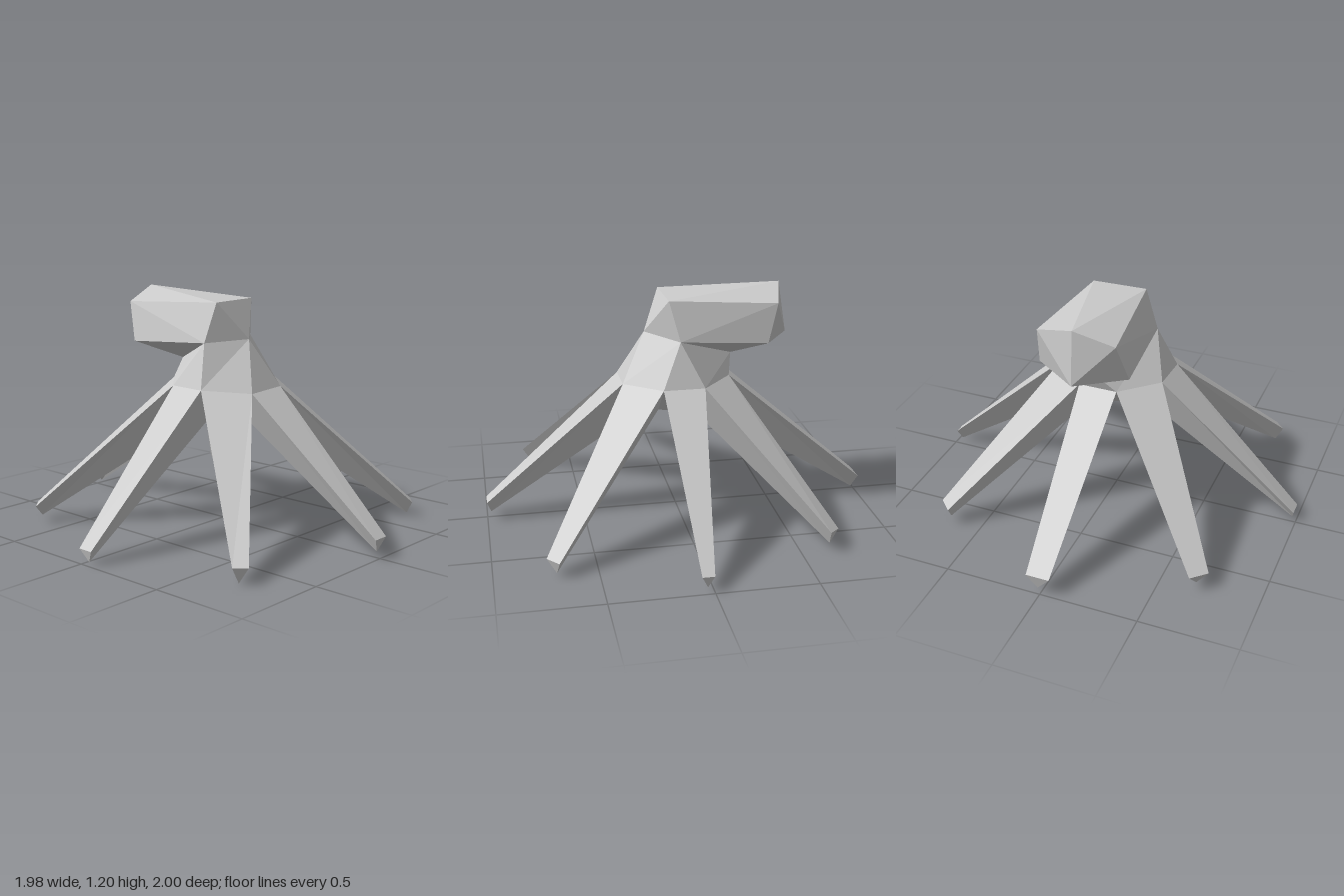
import * as THREE from 'three';

const grey = new THREE.MeshStandardMaterial({ color: 0xcccccc, flatShading: true });

// Flat-shaded mesh from a list of convex polygons (corners counter-clockwise)
function facets(name, polygons) {
  const pos = [];
  for (const p of polygons)
    for (let i = 1; i < p.length - 1; i++) pos.push(...p[0], ...p[i], ...p[i + 1]);
  const g = new THREE.BufferGeometry();
  g.setAttribute('position', new THREE.Float32BufferAttribute(pos, 3));
  g.computeVertexNormals();
  const mesh = new THREE.Mesh(g, grey);
  mesh.name = name;
  return mesh;
}

export function createModel() {
  const group = new THREE.Group();
  group.name = 'octopus';

  // Shoulder ring: corners shared by neighbouring tentacles, front first, turning towards +x
  const ring = [
    [-0.11, 0.72, 0.29], [0.11, 0.73, 0.29], [0.28, 0.74, 0.11], [0.28, 0.74, -0.10],
    [0.10, 0.74, -0.26], [-0.10, 0.74, -0.26], [-0.28, 0.74, -0.09], [-0.29, 0.74, 0.11],
  ];
  // Lower ring: one keel point under each tentacle
  const keel = ring.map((_, i) => {
    const a = i * Math.PI / 4;
    return [0.12 * Math.sin(a), 0.57, 0.02 + 0.12 * Math.cos(a)];
  });
  // Tentacle tips: two upper corners and the keel end
  const tips = [
    [[-0.04, 0.10, 1.00], [0.045, 0.10, 1.00], [0, 0.03, 0.98]],
    [[0.67, 0.08, 0.745], [0.735, 0.08, 0.69], [0.69, 0.01, 0.70]],
    [[0.985, 0.08, 0.06], [0.985, 0.08, 0], [0.97, 0.02, 0.03]],
    [[0.72, 0.11, -0.64], [0.66, 0.10, -0.695], [0.67, 0.03, -0.65]],
    [[0.07, 0.10, -1.00], [-0.05, 0.10, -1.00], [0.02, 0.02, -0.98]],
    [[-0.66, 0.09, -0.725], [-0.735, 0.09, -0.655], [-0.68, 0.03, -0.67]],
    [[-0.99, 0.07, -0.02], [-0.99, 0.07, 0.06], [-0.975, 0.01, 0.03]],
    [[-0.74, 0.08, 0.715], [-0.69, 0.08, 0.77], [-0.70, 0, 0.72]],
  ];

  // Tapered three-sided tentacles
  tips.forEach(([a, b, c], i) => {
    const l = ring[i], r = ring[(i + 1) % 8], k = keel[i];
    group.add(facets('tentacle' + (i + 1), [[a, b, r, l], [l, k, c, a], [r, b, c, k], [a, c, b]]));
  });

  // Underside: webs between the tentacles and the flat belly
  const webs = keel.map((k, i) => [ring[(i + 1) % 8], k, keel[(i + 1) % 8]]);
  group.add(facets('underside', [...webs, [...keel].reverse()]));

  // Neck corners: front, the two sides, back
  const F = [0.01, 0.97, 0.165], P = [0.2, 0.96, 0.01], M = [-0.2, 0.96, 0.05], B = [0, 0.83, -0.29];
  const R = ring;
  group.add(facets('body', [
    [R[0], R[1], F], [R[1], R[2], P, F], [R[2], R[3], P], [R[3], R[4], B, P],
    [R[4], R[5], B], [R[5], R[6], M, B], [R[6], R[7], M], [R[7], R[0], F, M],
  ]));

  // Head swept backwards: brow, rear upper and rear lower corners, rear ridge
  const browP = [0.15, 1.16, 0.06], browM = [-0.13, 1.16, 0.07];
  const upP = [0.215, 1.14, -0.48], upM = [-0.19, 1.13, -0.49];
  const lowP = [0.23, 0.94, -0.43], lowM = [-0.23, 0.93, -0.42];
  const crown = [0.01, 1.2, -0.535], rear = [0, 0.93, -0.58];
  group.add(facets('head', [
    [F, browP, browM], [F, P, browP], [F, browM, M],
    [P, lowP, upP, browP], [M, browM, upM, lowM],
    [browM, browP, crown], [browP, upP, crown], [browM, crown, upM],
    [crown, upP, rear], [crown, rear, upM], [upP, lowP, rear], [upM, rear, lowM],
    [lowP, B, rear], [lowM, rear, B], [P, B, lowP], [M, lowM, B],
  ]));

  return group;
}
